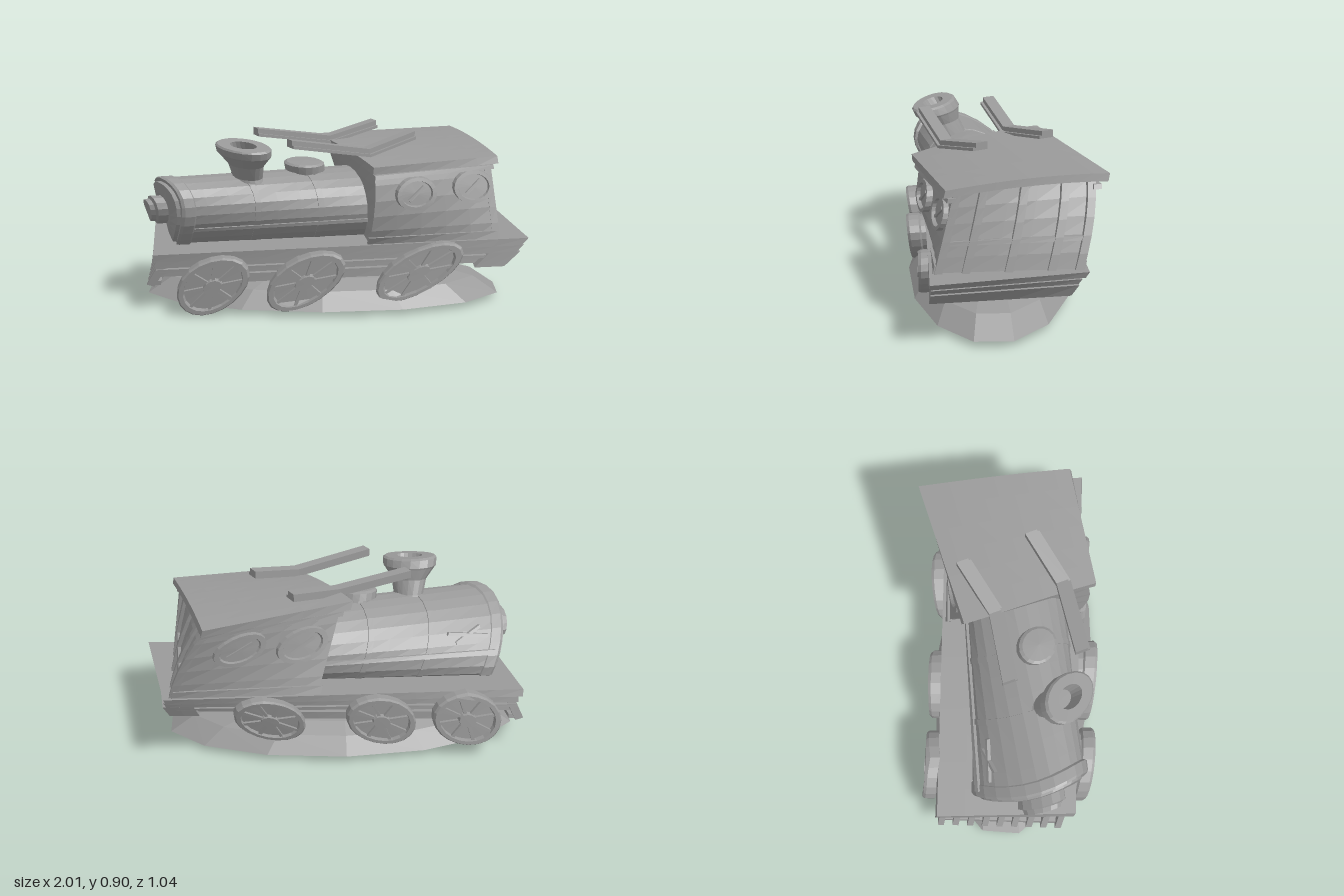
import * as THREE from 'three';

const grey = new THREE.MeshStandardMaterial({ color: 0x9a9a9a, flatShading: true, side: THREE.DoubleSide });
grey.name = 'clay grey';

// Control cage: the straight engine is bent by interpolating three levels of corners.
// Corner order: front/+z, front/-z, rear/+z, rear/-z (the engine faces -x).
const V = (x, y, z) => new THREE.Vector3(x, y, z);
const LEVELS = [
  [0.0, [V(-0.98, -0.02, 0.38), V(-1, 0.03, -0.38), V(0.66, 0.06, 0.40), V(0.75, 0.11, -0.31)]],
  [0.4, [V(-0.92, 0.30, 0.45), V(-1, 0.325, -0.33), V(0.99, 0.37, 0.37), V(0.86, 0.38, -0.45)]],
  [0.9, [V(-0.74, 0.72, 0.70), V(-1.22, 0.83, 0.23), V(0.92, 0.785, 0.24), V(0.76, 0.80, -0.57)]],
];
function onLevel(corners, u, w) {
  const pos = corners[0].clone().lerp(corners[2], u);
  const neg = corners[1].clone().lerp(corners[3], u);
  return neg.lerp(pos, w);
}
function warp(p) {
  const i = p.y < 0.4 ? 0 : 1;
  const [y0, low] = LEVELS[i], [y1, high] = LEVELS[i + 1];
  const u = (p.x + 1) / 2, w = (p.z + 0.42) / 0.84;
  return onLevel(low, u, w).lerp(onLevel(high, u, w), (p.y - y0) / (y1 - y0));
}
// The cab also bulges out at its rear -z corner and at its front +z side
function warpCab(p) {
  const t = (0.88 - p.y) / 0.48, back = (p.x - 0.16) / 0.7;
  const k = 0.055 * (1 - p.z / 0.36) * t * (2 - t) * back;
  const side = p.z > 0 ? 0.06 * (p.z / 0.36) * (1 - back) * 4 * t * (1 - t) : 0;
  return warp(V(p.x + k, p.y, p.z + side));
}

export function createModel() {
  const model = new THREE.Group();
  model.name = 'bentLocomotive';

  // Places a geometry, bends it by a rule (if any), and adds it as a faceted mesh
  function add(name, geo, matrix, parent = model, rule = warp) {
    const g = geo.index ? geo.toNonIndexed() : geo;
    if (matrix) g.applyMatrix4(matrix);
    if (rule) {
      const a = g.attributes.position, p = new THREE.Vector3();
      for (let i = 0; i < a.count; i++) {
        const q = rule(p.fromBufferAttribute(a, i));
        a.setXYZ(i, q.x, q.y, q.z);
      }
    }
    g.computeVertexNormals();
    const m = new THREE.Mesh(g, grey);
    m.name = name;
    parent.add(m);
  }
  const at = (x, y, z, rx = 0, ry = 0, rz = 0, sx = 1, sy = 1, sz = 1) => new THREE.Matrix4().compose(
    V(x, y, z), new THREE.Quaternion().setFromEuler(new THREE.Euler(rx, ry, rz)), V(sx, sy, sz));
  // Box given by its limits
  const box = (name, x0, x1, y0, y1, z0, z1, parent, rule) => add(name,
    new THREE.BoxGeometry(x1 - x0, y1 - y0, z1 - z0,
      Math.ceil((x1 - x0) * 6), Math.ceil((y1 - y0) * 10), Math.ceil((z1 - z0) * 6)),
    at((x0 + x1) / 2, (y0 + y1) / 2, (z0 + z1) / 2), parent, rule);
  const lathe = (pts, n) => new THREE.LatheGeometry(pts.map(p => new THREE.Vector2(...p)), n);

  // Ground mound
  add('groundMound', lathe([[0, 0.02], [1, 0.02], [0.86, 0.11], [0.68, 0.155], [0.45, 0.19], [0, 0.205]], 14),
    at(-0.06, 0, 0.035, 0, 0, 0, 0.955, 1, 0.445), model, null);

  // Chassis: stacked slabs with a deep rear apron
  box('platform', -1, 1.015, 0.355, 0.405, -0.39, 0.39);
  box('platformEdge', -0.98, 1.03, 0.305, 0.355, -0.37, 0.38);
  box('frame', -0.95, 1, 0.22, 0.305, -0.32, 0.32);
  box('rearApron', 0.88, 1.05, 0.21, 0.31, -0.37, 0.38);
  for (const s of [-1, 1]) box('runningStrip', -0.97, 0.99, 0.27, 0.29, s * 0.345 - 0.025, s * 0.345 + 0.025);

  // Front guard with slanting teeth
  const guard = new THREE.Group();
  guard.name = 'frontGuard';
  model.add(guard);
  for (let i = 0; i < 9; i++) {
    add('guardTooth', new THREE.BoxGeometry(0.05, 0.17, 0.035), at(-0.96, 0.255, -0.34 + i * 0.085, 0, 0, -0.35), guard);
  }
  box('guardBar', -0.98, -0.93, 0.17, 0.2, -0.34, 0.34, guard);

  // Wheels: disc, raised rim, hub and spokes; each entry is its centre [x, y, z]
  const wheels = [[-0.63, 0.2, 0.4], [-0.1, 0.2, 0.4], [0.55, 0.21, 0.34],
    [-0.66, 0.215, -0.36], [-0.16, 0.205, -0.36], [0.48, 0.21, -0.36]];
  for (const [x, y, z] of wheels) {
    const wheel = new THREE.Group();
    wheel.name = 'wheel';
    model.add(wheel);
    const base = at(x, y, z, 0, z > 0 ? 0 : Math.PI, 0);
    const put = (name, g, m) => add(name, g, base.clone().multiply(m), wheel);
    put('wheelRim', lathe([[0, -0.03], [0.185, -0.03], [0.185, 0.02], [0.2, 0.03], [0.2, 0.085], [0.19, 0.1],
      [0.165, 0.1], [0.16, 0.065], [0, 0.065]], 20), at(0, 0, 0, Math.PI / 2));
    put('wheelHub', new THREE.CylinderGeometry(0.05, 0.055, 0.05, 12), at(0, 0, 0.08, Math.PI / 2));
    for (let k = 0; k < 8; k++) {
      const a = k * Math.PI / 4 + 0.2;
      put('wheelSpoke', new THREE.BoxGeometry(0.13, 0.02, 0.03),
        at(Math.cos(a) * 0.105, Math.sin(a) * 0.105, 0.072, 0, 0, a));
    }
  }
  // Axle strips behind the wheels
  for (const s of [-1, 1]) box('axleStrip', -0.7, 0.65, 0.17, 0.23, s * 0.32 - 0.03, s * 0.32 + 0.03);

  // Boiler with front cap, bands and handrails (oval section)
  const along = (x, y = 0.575, z = 0) => at(x, y, z, 0, 0, Math.PI / 2, 0.22, 1, 0.285);
  const tube = [];
  for (let i = 0; i <= 8; i++) tube.push([1, -0.18 + i * 0.13]);
  add('boiler', lathe(tube, 24), along(0));
  add('boilerFront', lathe([[1, -0.08], [1.05, -0.07], [1.05, -0.015], [1.02, 0], [0.92, 0], [0.9, 0.02],
    [0.6, 0.04], [0, 0.045]], 24), along(-0.875, 0.575, 0.01));
  add('lampKnob', lathe([[0.42, -0.02], [0.43, 0.07], [0.35, 0.08], [0.33, 0.105], [0, 0.105]], 14),
    along(-0.9, 0.605, 0.03));
  for (const x of [-0.45, -0.1]) {
    add('boilerBand', lathe([[1, -0.016], [1.02, -0.016], [1.02, 0.016], [1, 0.016]], 24), along(x));
  }
  for (const s of [-1, 1]) box('boilerRail', -0.84, 0.17, 0.525, 0.545, s * 0.28 - 0.015, s * 0.28 + 0.015);
  add('boilerLever', new THREE.BoxGeometry(0.24, 0.015, 0.02), at(-0.66, 0.62, -0.285, 0, 0, 0.1));
  add('boilerLever', new THREE.BoxGeometry(0.14, 0.015, 0.02), at(-0.66, 0.62, -0.285, 0, 0, -0.5));

  // Chimney with a flared, hollow top, and the steam dome
  add('chimney', lathe([[0.1, 0.74], [0.075, 0.79], [0.085, 0.87], [0.118, 0.93], [0.125, 0.94], [0.125, 0.98],
    [0.115, 0.99], [0.06, 0.99], [0.05, 0.9], [0, 0.9]], 18), at(-0.43, 0, 0.02, 0, 0, 0, 1, 1, 1.4));
  add('steamDome', lathe([[0.075, 0.75], [0.075, 0.8], [0.105, 0.805], [0.105, 0.845], [0.09, 0.855], [0, 0.86]], 18),
    at(-0.1, 0, 0, 0, 0, 0, 1, 1, 1.15));

  // Cab
  const cab = new THREE.Group();
  cab.name = 'cab';
  model.add(cab);
  const cabBox = (name, ...limits) => box(name, ...limits, cab, warpCab);
  cabBox('cabBody', 0.16, 0.85, 0.4, 0.88, -0.36, 0.36);
  for (const s of [-1, 1]) {
    cabBox('cabSkirt', 0.15, 0.86, 0.4, 0.45, s * 0.36 - 0.012, s * 0.36 + 0.012);
    cabBox('gutter', 0.15, 0.88, 0.825, 0.85, s * 0.37 - 0.02, s * 0.37 + 0.02);
    cabBox('cornerPost', 0.83, 0.87, 0.4, 0.88, s * 0.345 - 0.02, s * 0.345 + 0.02);
    // Round windows with a slanting catch
    for (const [x, y] of s > 0 ? [[0.4, 0.72], [0.745, 0.73]] : [[0.31, 0.69], [0.62, 0.71]]) {
      const base = at(x, y, s * 0.36, 0, s > 0 ? 0 : Math.PI, 0);
      const put = (name, g, m) => add(name, g, base.clone().multiply(m), cab, warpCab);
      put('windowFrame', lathe([[0.125, -0.01], [0.12, 0.03], [0.095, 0.03], [0.09, 0.012], [0, 0.012]], 20),
        at(0, 0, 0, Math.PI / 2, 0, 0, 1, 1, 0.82));
      put('windowCatch', new THREE.BoxGeometry(0.12, 0.018, 0.02), at(0, 0, 0.015, 0, 0, 0.7));
    }
  }
  // Rear wall ribs
  for (const z of [-0.21, 0, 0.21]) cabBox('rearRib', 0.84, 0.87, 0.4, 0.87, z - 0.02, z + 0.02);
  cabBox('rearCrossRib', 0.84, 0.865, 0.565, 0.59, -0.35, 0.35);

  // Gently arched roof
  const roof = new THREE.BoxGeometry(0.77, 0.045, 0.84, 6, 1, 10);
  const rp = roof.attributes.position;
  for (let i = 0; i < rp.count; i++) rp.setY(i, rp.getY(i) + 0.02 * (1 - (rp.getZ(i) / 0.42) ** 2));
  add('roof', roof, at(0.515, 0.885, 0), cab);

  // Bent channel bars above the roof: a stepped section swept along a bent path
  const section = [[-0.04, 0], [0.04, 0], [0.04, 0.015], [0.025, 0.015], [0.025, 0.04], [-0.04, 0.04]];
  function bar(path) {
    const pos = [], n = section.length;
    const dir = path[2].clone().sub(path[0]).setY(0).normalize();
    const across = V(-dir.z, 0, dir.x);
    const pt = (p, k) => {
      const [a, b] = section[k % n];
      return p.clone().addScaledVector(across, a).add(V(0, b - 0.03, 0));
    };
    const tri = (a, b, c) => { for (const v of [a, b, c]) pos.push(v.x, v.y, v.z); };
    for (let i = 0; i < path.length - 1; i++) {
      for (let k = 0; k < n; k++) {
        const a = pt(path[i], k), b = pt(path[i], k + 1), c = pt(path[i + 1], k + 1), d = pt(path[i + 1], k);
        tri(a, c, b);
        tri(a, d, c);
      }
    }
    // End caps
    for (const p of [path[0], path[path.length - 1]]) {
      for (const [a, b, c] of [[0, 1, 2], [0, 2, 3], [0, 3, 4], [0, 4, 5]]) tri(pt(p, a), pt(p, b), pt(p, c));
    }
    const g = new THREE.BufferGeometry();
    g.setAttribute('position', new THREE.Float32BufferAttribute(pos, 3));
    add('roofBar', g, null, model, null);
  }
  bar([V(-0.41, 0.885, 0.04), V(-0.03, 0.83, -0.06), V(0.22, 0.88, -0.25)]);
  bar([V(-0.22, 0.885, 0.39), V(0.17, 0.82, 0.27), V(0.41, 0.88, 0.09)]);

  return model;
}
